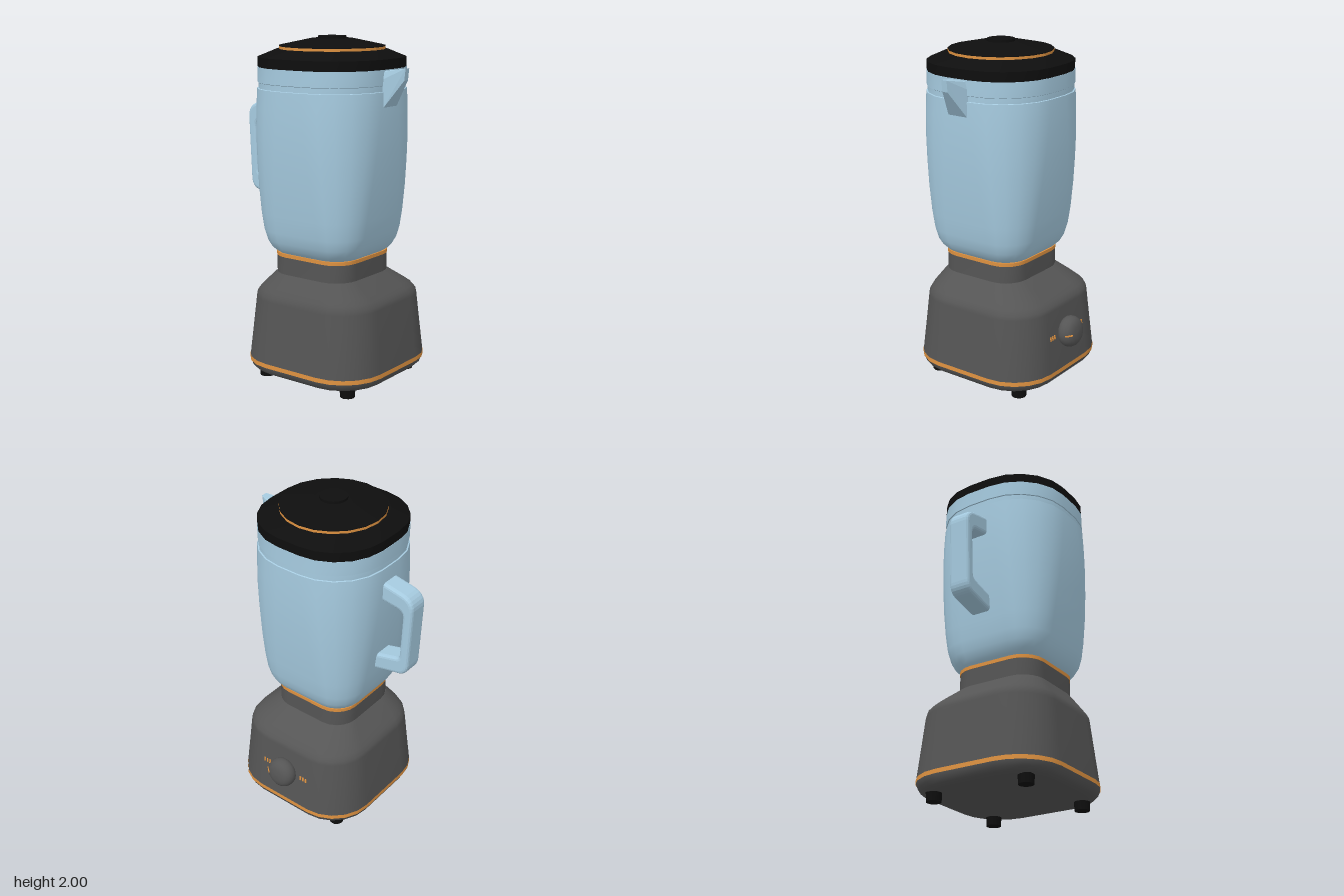
import * as THREE from 'three';
import { ConvexGeometry } from 'three/addons/geometries/ConvexGeometry.js';

const CX = 0.04, CZ = 0.08, BASE_Z = 0.033;

const material = (name, color) => {
  const m = new THREE.MeshStandardMaterial({ color });
  m.name = name;
  return m;
};

// Rounded-square loft. Ring: [y, half width, corner radius, centre z].
// Repeating a ring makes a crease; a ring of zero width closes the end.
function loft(rings) {
  const corner = 5, n = 4 * (corner + 1), pos = [], index = [];
  rings.forEach(([y, h, r, cz = CZ]) => {
    for (let q = 0; q < 4; q++) {
      for (let s = 0; s <= corner; s++) {
        const a = (q + s / corner) * Math.PI / 2;
        const mid = (q + 0.5) * Math.PI / 2;
        const f = h - r;
        pos.push(CX + Math.sign(Math.cos(mid)) * f + r * Math.cos(a), y,
          cz + Math.sign(Math.sin(mid)) * f + r * Math.sin(a));
      }
    }
  });
  for (let j = 0; j < rings.length - 1; j++) {
    for (let i = 0; i < n; i++) {
      const a = j * n + i, b = j * n + (i + 1) % n;
      index.push(a, a + n, b, b, a + n, b + n);
    }
  }
  const g = new THREE.BufferGeometry();
  g.setAttribute('position', new THREE.Float32BufferAttribute(pos, 3));
  g.setIndex(index);
  g.computeVertexNormals();
  return g;
}

// Closes both ends of a list of rings with flat caps
function capped(rings) {
  const first = rings[0], last = rings[rings.length - 1];
  return [[first[0], 0, 0, first[3]], first, ...rings, last, [last[0], 0, 0, last[3]]];
}

export function createModel() {
  const grey = material('dark grey plastic', 0x555555);
  const black = material('black plastic', 0x0e0e0e);
  const orange = material('copper trim', 0xdd9140);
  const blue = material('pale blue jar', 0xa6cbe0);

  const model = new THREE.Group();
  model.name = 'blender';
  const add = (name, geometry, mat, parent = model) => {
    const mesh = new THREE.Mesh(geometry, mat);
    mesh.name = name;
    parent.add(mesh);
    return mesh;
  };

  // Motor base, sloping shoulder and neck
  add('motorBase', loft(capped([
    [0.05, 0.385, 0.22, BASE_Z], [0.058, 0.412, 0.24, BASE_Z], [0.075, 0.43, 0.25, BASE_Z],
    [0.105, 0.442, 0.26, BASE_Z], [0.13, 0.442, 0.26, BASE_Z], [0.32, 0.423, 0.25, BASE_Z],
    [0.49, 0.406, 0.24, BASE_Z], [0.515, 0.401, 0.235, 0.034], [0.54, 0.383, 0.22, 0.039],
    [0.565, 0.357, 0.2, 0.048], [0.645, 0.27, 0.14],
  ])), grey);
  add('baseTrim', loft([[0.105, 0.445, 0.262, BASE_Z], [0.13, 0.444, 0.262, BASE_Z]]), orange)
    .material.side = THREE.DoubleSide;
  add('neck', loft(capped([[0.64, 0.268, 0.14], [0.747, 0.268, 0.14]])), grey);
  add('neckTrim', loft(capped([[0.747, 0.27, 0.14], [0.768, 0.27, 0.14]])), orange);

  // Feet
  for (const sx of [-1, 1]) {
    for (const sz of [-1, 1]) {
      add('foot', new THREE.CylinderGeometry(0.046, 0.043, 0.06, 16), black)
        .position.set(CX + sx * 0.296, 0.03, BASE_Z + sz * 0.296);
    }
  }

  // Jar with a shallow groove below the rim
  const groove = [0.388, 0.315], rim = [0.393, 0.32];
  add('jar', loft(capped([
    [0.768, 0.262, 0.14], [0.78, 0.277, 0.145], [0.8, 0.295, 0.155], [0.84, 0.317, 0.17],
    [0.9, 0.334, 0.185], [1.0, 0.35, 0.205], [1.15, 0.368, 0.235], [1.3, 0.382, 0.265],
    [1.45, 0.392, 0.29], [1.6, 0.396, 0.31], [1.71, 0.395, 0.32], [1.71, 0.395, 0.32],
    [1.712, ...groove], [1.712, ...groove], [1.742, ...groove], [1.742, ...groove],
    [1.745, ...rim], [1.745, ...rim], [1.83, ...rim],
  ])), blue);

  // Pouring spout
  const spout = [];
  for (const s of [-1, 1]) {
    for (const [x, y, z] of [[0.4, 1.59, 0.065], [0.435, 1.625, 0.065], [0.4, 1.78, 0.065],
      [0.432, 1.78, 0.065], [0.4, 1.82, 0.055], [0.432, 1.82, 0.055],
      [0.538, 1.775, 0.018], [0.545, 1.84, 0.018]]) {
      spout.push(new THREE.Vector3(x, y, CZ - 0.002 + s * z));
    }
  }
  add('spout', new ConvexGeometry(spout), blue);

  // Handle: side outline extruded across with rounded edges
  const b = 0.02;
  const outline = new THREE.Shape();
  outline.moveTo(-0.31, 1.612);
  outline.lineTo(-0.47, 1.578);
  outline.quadraticCurveTo(-0.53, 1.565, -0.53, 1.51);
  outline.lineTo(-0.514, 1.14);
  outline.quadraticCurveTo(-0.512, 1.094, -0.475, 1.086);
  outline.lineTo(-0.27, 1.042);
  outline.lineTo(-0.27, 1.105);
  outline.lineTo(-0.45, 1.148);
  outline.quadraticCurveTo(-0.494, 1.158, -0.495, 1.19);
  outline.lineTo(-0.506, 1.45);
  outline.quadraticCurveTo(-0.505, 1.5, -0.46, 1.513);
  outline.lineTo(-0.31, 1.535);
  outline.closePath();
  const handle = new THREE.ExtrudeGeometry(outline, {
    depth: 0.128 - 2 * b, bevelEnabled: true, bevelSize: b, bevelThickness: b,
    bevelSegments: 3, curveSegments: 6,
  });
  add('handle', handle, blue).position.z = 0.074 - 0.064 + b;

  // Lid in two tiers with a copper ring between them
  add('lid', loft(capped([
    [1.82, 0.391, 0.318], [1.885, 0.391, 0.318], [1.885, 0.391, 0.318], [1.928, 0.31, 0.3],
  ])), black);
  add('lidTrim', loft(capped([[1.925, 0.3, 0.3], [1.943, 0.3, 0.3]])), orange);
  add('lidTop', loft(capped([
    [1.943, 0.3, 0.3], [1.948, 0.3, 0.3], [1.948, 0.3, 0.3], [1.986, 0.12, 0.12],
    [1.986, 0.08, 0.08], [1.986, 0.08, 0.08], [2, 0.08, 0.08],
  ])), black);

  // Control dial on the back, tilted with the sloping wall
  const dial = new THREE.Group();
  dial.name = 'controlDial';
  dial.position.set(CX, 0.335, -0.39);
  dial.rotation.x = -Math.PI / 2 + 0.1;
  model.add(dial);
  const profile = [[0.075, -0.01], [0.088, 0.005], [0.092, 0.022], [0.09, 0.042],
    [0.08, 0.062], [0.062, 0.076], [0.035, 0.083], [0, 0.085]];
  add('dialKnob', new THREE.LatheGeometry(
    profile.map(([x, y]) => new THREE.Vector2(x, y)), 24), grey, dial);
  const pointer = add('dialPointer', new THREE.BoxGeometry(0.045, 0.006, 0.008), orange, dial);
  pointer.position.set(0.074, 0.068, 0);
  pointer.rotation.z = -0.75;

  // Plain position marks either side of the dial
  for (const s of [-1, 1]) {
    for (const i of [-1, 0, 1]) {
      add('dialMark', new THREE.BoxGeometry(0.01, 0.004, 0.026), orange, dial)
        .position.set(s * 0.14 + i * 0.02, 0.001, 0);
    }
  }
  return model;
}
